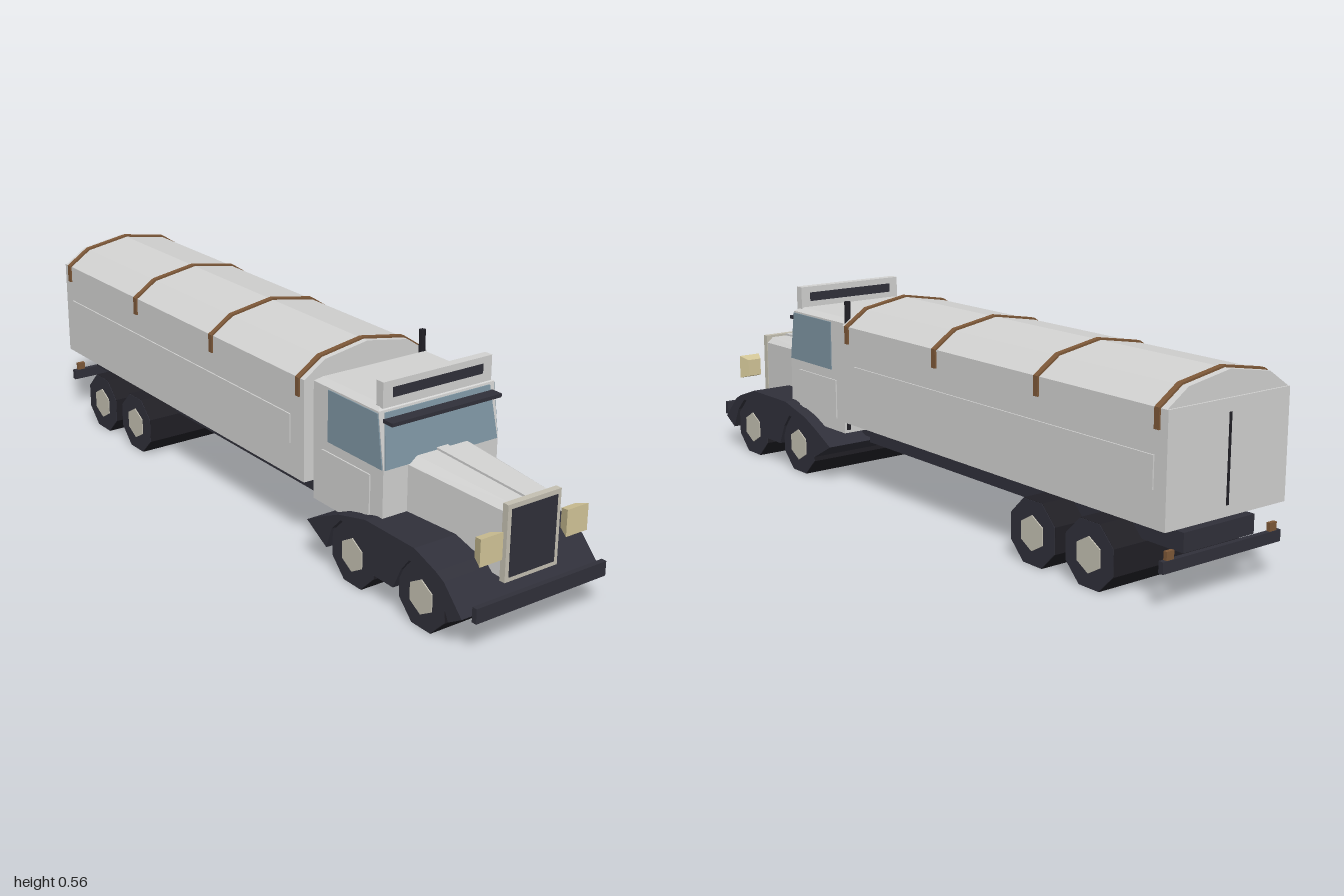
import * as THREE from 'three';
import { ConvexGeometry } from 'three/addons/geometries/ConvexGeometry.js';

const mat = (name, color) => {
  const m = new THREE.MeshStandardMaterial({ color });
  m.name = name;
  return m;
};

export function createModel() {
  const paint = mat('grey white paint', 0xd2d2d1);
  const dark = mat('dark frame', 0x30303a);
  const rubber = mat('black rubber', 0x201f25);
  const glass = mat('blue glass', 0x7e95a2);
  const trim = mat('beige trim', 0xc4c0b2);
  const lamp = mat('pale lamp', 0xd3c698);
  const brown = mat('brown strap', 0x7d5838);

  const model = new THREE.Group();
  model.name = 'truck';

  const add = (name, geo, material) => {
    const g = geo.index ? geo.toNonIndexed() : geo;
    g.computeVertexNormals();
    const mesh = new THREE.Mesh(g, material);
    mesh.name = name;
    model.add(mesh);
    return mesh;
  };
  // Box given by its limits on each axis
  const box = (name, material, x0, x1, y0, y1, z0, z1) =>
    add(name, new THREE.BoxGeometry(x1 - x0, y1 - y0, z1 - z0)
      .translate((x0 + x1) / 2, (y0 + y1) / 2, (z0 + z1) / 2), material);
  // Convex solid from corner points
  const hull = (name, material, pts) =>
    add(name, new ConvexGeometry(pts.map(p => new THREE.Vector3(...p))), material);
  // Convex solid mirrored in x: each point stands for a left and right pair
  const symHull = (name, material, pts) =>
    hull(name, material, pts.flatMap(([x, y, z]) => [[x, y, z], [-x, y, z]]));
  const extrude = (pts, depth) => new THREE.ExtrudeGeometry(
    new THREE.Shape(pts.map(p => new THREE.Vector2(...p))), { depth, bevelEnabled: false });
  const mirrored = pts => [...pts, ...pts.filter(p => p[0] !== 0).reverse().map(([x, y]) => [-x, y])];

  // Trailer body, arched roof and raised side panels
  box('trailerBody', paint, -0.203, 0.203, 0.197, 0.483, -1, 0.31);
  add('trailerRoof', extrude(mirrored([[0.203, 0.482], [0.136, 0.527], [0, 0.55]]), 1.305)
    .translate(0, 0, -0.995), paint);
  for (const s of [-1, 1]) {
    const [a, b] = [s * 0.202, s * 0.207].sort((p, q) => p - q);
    box('trailerSidePanel', paint, a, b, 0.29, 0.372, -0.96, 0.25);
  }
  box('rearDoorSeam', rubber, -0.004, 0.004, 0.225, 0.45, -1.0015, -0.995);

  // Straps over the roof
  const outer = mirrored([[0.208, 0.433], [0.208, 0.485], [0.138, 0.532], [0, 0.555]]);
  const inner = mirrored([[0.201, 0.433], [0.201, 0.48], [0.135, 0.524], [0, 0.547]]);
  for (const z of [0.285, -0.132, -0.55, -0.968])
    add('strap', extrude([...outer, ...inner.reverse()], 0.016).translate(0, 0, z - 0.008), brown);

  // Chassis, hitch and bumpers
  box('chassis', dark, -0.12, 0.12, 0.126, 0.176, -0.98, 0.3);
  box('hitch', dark, -0.085, 0.085, 0.126, 0.176, 0.3, 0.4);
  box('rearBumper', dark, -0.2, 0.2, 0.095, 0.125, -0.995, -0.98);
  box('frontBumper', dark, -0.21, 0.21, 0.093, 0.133, 0.985, 1);
  for (const s of [-1, 1])
    box('tailLamp', brown, s * 0.175 - 0.012, s * 0.175 + 0.012, 0.125, 0.147, -0.993, -0.982);

  // Full-width axles with eight-sided tyres and hubs
  for (const z of [0.812, 0.54, -0.555, -0.764]) {
    const tyre = new THREE.CylinderGeometry(0.092, 0.092, 0.43, 8)
      .rotateY(Math.PI / 8).rotateZ(Math.PI / 2).translate(0, 0.085, z);
    add('tyres', tyre, rubber);
    for (const s of [-1, 1]) {
      add('wheelFace', new THREE.CylinderGeometry(0.091, 0.091, 0.002, 8)
        .rotateY(Math.PI / 8).rotateZ(Math.PI / 2).translate(s * 0.2155, 0.085, z), dark);
      add('hub', new THREE.CylinderGeometry(0.047, 0.047, 0.008, 6)
        .rotateY(Math.PI / 2).rotateZ(Math.PI / 2).translate(s * 0.2155, 0.085, z), trim);
    }
  }

  // Double-arched fender, profile in z and y
  const fender = [
    [0.967, 0.095], [0.9, 0.165], [0.87, 0.18], [0.79, 0.208], [0.6, 0.208], [0.49, 0.18],
    [0.43, 0.153], [0.355, 0.115], [0.44, 0.068], [0.462, 0.13], [0.5, 0.168], [0.58, 0.168],
    [0.61, 0.13], [0.637, 0.07], [0.714, 0.07], [0.742, 0.13], [0.772, 0.168], [0.852, 0.168],
    [0.89, 0.13], [0.92, 0.067],
  ];
  add('fenders', extrude(fender, 0.45).translate(0, 0, -0.225).rotateY(-Math.PI / 2), dark);

  // Cab with raked windscreen and chamfered roof
  const w = 0.187;
  box('cabBody', paint, -w, w, 0.157, 0.337, 0.33, 0.62);
  symHull('cabUpper', paint, [
    [w, 0.337, 0.33], [w, 0.337, 0.62], [w, 0.485, 0.33], [w, 0.485, 0.597]]);
  symHull('cabRoof', paint, [
    [w, 0.485, 0.33], [w, 0.485, 0.597], [0.168, 0.497, 0.345], [0.168, 0.497, 0.58]]);
  symHull('windscreen', glass, [
    [0.183, 0.337, 0.623], [0.17, 0.479, 0.601], [0.183, 0.337, 0.618], [0.17, 0.479, 0.596]]);
  for (const s of [-1, 1]) {
    const window = [[0.338, 0.395], [0.338, 0.617], [0.48, 0.596], [0.48, 0.395]];
    hull('sideWindow', glass, window.flatMap(([y, z]) => [[s * 0.185, y, z], [s * 0.19, y, z]]));
    const [a, b] = [s * 0.186, s * 0.191].sort((p, q) => p - q);
    box('doorPanel', paint, a, b, 0.195, 0.31, 0.37, 0.57);
  }
  box('sunVisor', dark, -0.177, 0.177, 0.455, 0.465, 0.602, 0.638);

  // Roof board with dark inset on both faces
  box('roofBoard', paint, -0.175, 0.175, 0.49, 0.558, 0.572, 0.598);
  box('roofBoardInset', dark, -0.145, 0.145, 0.514, 0.54, 0.57, 0.6);

  // Tapered hood, centre spine and grille
  symHull('hood', paint, [
    [0.11, 0.18, 0.61], [0.11, 0.335, 0.61], [0.082, 0.353, 0.61],
    [0.082, 0.15, 0.942], [0.082, 0.322, 0.942], [0.062, 0.338, 0.942]]);
  symHull('hoodSpine', paint, [
    [0.018, 0.34, 0.61], [0.018, 0.359, 0.61], [0.014, 0.33, 0.94], [0.014, 0.344, 0.94]]);
  box('grilleFrame', trim, -0.085, 0.085, 0.143, 0.345, 0.938, 0.956);
  box('grille', dark, -0.073, 0.073, 0.155, 0.332, 0.95, 0.958);

  // Headlights flaring towards the front
  for (const s of [-1, 1]) {
    const pts = [];
    for (const [rx, ry, z] of [[0.035, 0.036, 0.963], [0.022, 0.026, 0.93]])
      for (const i of [-1, 1])
        for (const j of [-1, 1]) pts.push([s * 0.138 + i * rx, 0.249 + j * ry, z]);
    hull('headlight', lamp, pts);
  }

  // Exhaust stack on the left side behind the cab
  add('exhaustPipe', new THREE.CylinderGeometry(0.006, 0.006, 0.32, 8).translate(0.18, 0.33, 0.32), rubber);
  add('exhaustTip', new THREE.CylinderGeometry(0.009, 0.009, 0.068, 8).translate(0.178, 0.515, 0.32), rubber);
  return model;
}
